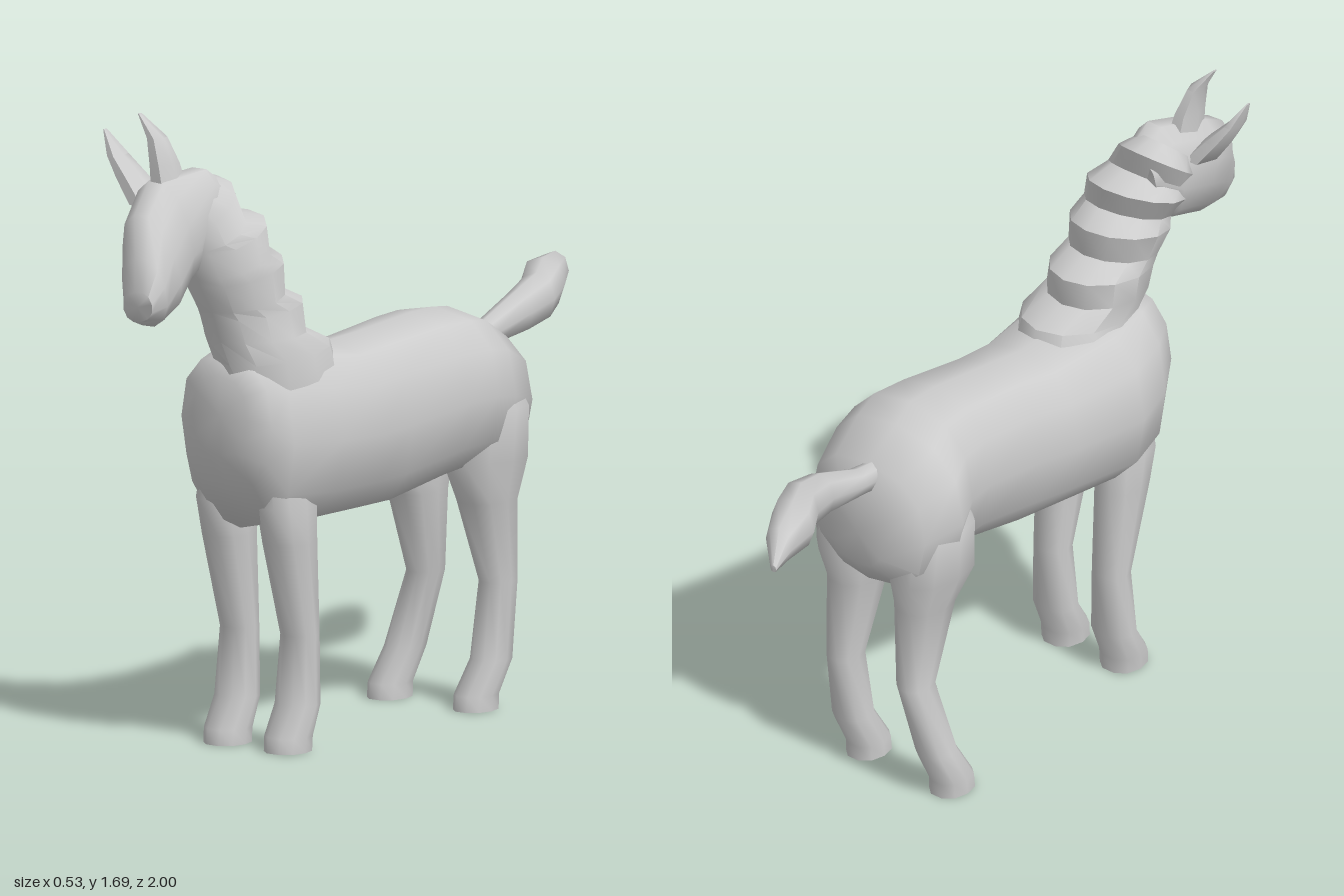
import * as THREE from 'three';
import { toCreasedNormals } from 'three/addons/utils/BufferGeometryUtils.js';

const material = new THREE.MeshStandardMaterial({ color: 0xcccccc, side: THREE.DoubleSide });

// Loft through oval rings. Each ring: [p, q, halfWidth, roll], where p and q are
// opposite ends of the oval and its width runs along x (tilted by roll).
function loft(name, rings, sides = 12, power = 0.9, crease = 1.1) {
  const pos = [], index = [], centres = [];
  const spread = (t) => Math.sign(t) * Math.abs(t) ** power;
  for (const [p, q, hw, roll = 0] of rings) {
    const c = p.map((v, i) => (v + q[i]) / 2);
    const v = q.map((e, i) => (e - p[i]) / 2);
    const u = [hw * Math.cos(roll), hw * Math.sin(roll), 0];
    centres.push(c);
    for (let j = 0; j < sides; j++) {
      const a = (j / sides) * Math.PI * 2;
      const cu = spread(Math.cos(a)), sv = spread(Math.sin(a));
      pos.push(...c.map((e, i) => e + u[i] * cu + v[i] * sv));
    }
  }
  const last = rings.length - 1, start = rings.length * sides;
  pos.push(...centres[0], ...centres[last]);
  for (let j = 0; j < sides; j++) {
    const k = (j + 1) % sides;
    for (let i = 0; i < last; i++) {
      const a = i * sides + j, b = i * sides + k;
      index.push(a, b, a + sides, b, b + sides, a + sides);
    }
    index.push(start, k, j, start + 1, last * sides + j, last * sides + k);
  }
  const geo = new THREE.BufferGeometry();
  geo.setAttribute('position', new THREE.Float32BufferAttribute(pos, 3));
  geo.setIndex(index);
  const mesh = new THREE.Mesh(toCreasedNormals(geo, crease), material);
  mesh.name = name;
  return mesh;
}

// Leg rows: [y, back z, front z, centre x, half width], hoof upwards
const leg = (name, rows) =>
  loft(name, rows.map(([y, zb, zf, x, hw]) => [[x, y, zf], [x, y, zb], hw]), 10);

// Ear rows: [x, y, back z, front z, half width], base upwards
const ear = (name, rows) =>
  loft(name, rows.map(([x, y, zb, zf, hw]) => [[x, y, zf], [x, y, zb], hw]), 6, 1);

export function createModel() {
  const horse = new THREE.Group();
  horse.name = 'horse';

  // Body, rump to chest: [z, bottom y, top y, centre x, half width]
  const body = [
    [-0.44, 0.69, 0.88, 0.02, 0.09],
    [-0.40, 0.63, 0.98, 0.015, 0.195],
    [-0.29, 0.62, 1.045, 0.015, 0.23],
    [-0.20, 0.635, 1.06, 0.045, 0.215],
    [-0.10, 0.62, 1.06, 0.045, 0.195],
    [0.10, 0.58, 1.04, 0.035, 0.178],
    [0.22, 0.58, 1.03, 0.025, 0.195],
    [0.42, 0.58, 1.06, 0.01, 0.23],
    [0.56, 0.585, 1.06, 0.01, 0.18],
    [0.63, 0.70, 1.05, 0.02, 0.15],
    [0.66, 0.79, 1.0, 0.02, 0.09],
  ];
  horse.add(loft('body', body.map(([z, b, t, x, hw]) => [[x, b, z], [x, t, z], hw]), 12, 0.82));

  // Neck and stepped mane in one loft; each ring runs from throat to crest:
  // [throat x, y, z, crest x, y, z, half width]
  const neck = [
    [0.03, 0.88, 0.64, 0.03, 0.94, 0.24, 0.16],
    [0.05, 1.03, 0.655, 0.03, 1.06, 0.28, 0.14],
    [0.03, 1.09, 0.665, 0.02, 1.10, 0.37, 0.13],
    [0.02, 1.15, 0.68, 0.01, 1.18, 0.365, 0.128],
    [0.015, 1.17, 0.685, 0.015, 1.215, 0.45, 0.118],
    [0.0, 1.24, 0.715, 0.0, 1.30, 0.44, 0.13],
    [0.0, 1.26, 0.72, 0.01, 1.335, 0.505, 0.115],
    [-0.03, 1.32, 0.735, -0.02, 1.41, 0.49, 0.13],
    [-0.03, 1.33, 0.735, -0.02, 1.43, 0.575, 0.11],
    [-0.055, 1.38, 0.74, -0.06, 1.505, 0.565, 0.105],
    [-0.06, 1.42, 0.74, -0.07, 1.525, 0.62, 0.075],
  ];
  horse.add(loft('neckAndMane',
    neck.map(([a, b, c, d, e, f, hw]) => [[a, b, c], [d, e, f], hw]), 12, 1, 0.7));

  // Head, poll to muzzle, tilted to one side
  horse.add(loft('head', [
    [[-0.05, 1.37, 0.60], [-0.06, 1.49, 0.58], 0.06, 0.3],
    [[-0.05, 1.275, 0.67], [-0.07, 1.54, 0.66], 0.09, 0.35],
    [[-0.035, 1.24, 0.75], [-0.11, 1.52, 0.79], 0.085, 0.35],
    [[0.0, 1.19, 0.84], [-0.07, 1.45, 0.90], 0.08, 0.35],
    [[0.02, 1.17, 0.93], [-0.015, 1.35, 0.965], 0.07, 0.3],
    [[0.02, 1.19, 0.985], [0.01, 1.27, 1.0], 0.048, 0.25],
  ], 12, 0.9));

  // Ears, bent outwards
  horse.add(ear('rightEar', [
    [-0.145, 1.45, 0.68, 0.81, 0.04],
    [-0.195, 1.515, 0.70, 0.805, 0.034],
    [-0.235, 1.57, 0.725, 0.80, 0.02],
    [-0.265, 1.635, 0.77, 0.785, 0.003],
  ]));
  horse.add(ear('leftEar', [
    [-0.08, 1.48, 0.68, 0.80, 0.04],
    [-0.09, 1.56, 0.70, 0.80, 0.03],
    [-0.105, 1.63, 0.73, 0.795, 0.022],
    [-0.15, 1.69, 0.77, 0.785, 0.003],
  ]));

  // Front legs, narrowing into the shoulder
  for (const [name, x] of [['leftFrontLeg', 0.115], ['rightFrontLeg', -0.085]]) {
    horse.add(leg(name, [
      [0, 0.43, 0.56, x, 0.058],
      [0.04, 0.43, 0.555, x, 0.06],
      [0.12, 0.405, 0.505, x, 0.062],
      [0.30, 0.40, 0.49, x, 0.052],
      [0.55, 0.41, 0.565, x, 0.064],
      [0.65, 0.41, 0.59, x, 0.068],
      [0.80, 0.42, 0.58, x, 0.04],
    ]));
  }

  // Hind legs: same side profile, each with its own stance
  const hind = [
    [0, -0.33, -0.20, 0.053], [0.04, -0.33, -0.205, 0.053], [0.13, -0.365, -0.255, 0.052],
    [0.33, -0.40, -0.29, 0.045], [0.55, -0.38, -0.205, 0.07], [0.66, -0.42, -0.16, 0.095],
    [0.80, -0.40, -0.17, 0.095], [0.92, -0.36, -0.20, 0.04],
  ];
  const stance = {
    leftHindLeg: [0.13, 0.13, 0.145, 0.14, 0.145, 0.14, 0.155, 0.14],
    rightHindLeg: [-0.155, -0.155, -0.14, -0.10, -0.085, -0.105, -0.11, -0.10],
  };
  for (const [name, xs] of Object.entries(stance)) {
    horse.add(leg(name, hind.map(([y, zb, zf, hw], i) => [y, zb, zf, xs[i], hw])));
  }

  // Tail, swung to one side: [z, bottom y, top y, centre x, half width]
  const tail = [
    [-0.36, 0.90, 0.98, 0.005, 0.03],
    [-0.45, 0.91, 0.985, 0.01, 0.035],
    [-0.60, 0.925, 1.045, 0.005, 0.047],
    [-0.70, 0.94, 1.07, -0.015, 0.06],
    [-0.80, 0.955, 1.088, -0.075, 0.072],
    [-0.92, 0.985, 1.08, -0.13, 0.045],
    [-1.0, 1.005, 1.025, -0.18, 0.01],
  ];
  horse.add(loft('tail', tail.map(([z, b, t, x, hw]) => [[x, t, z], [x, b, z], hw]), 8));

  return horse;
}
